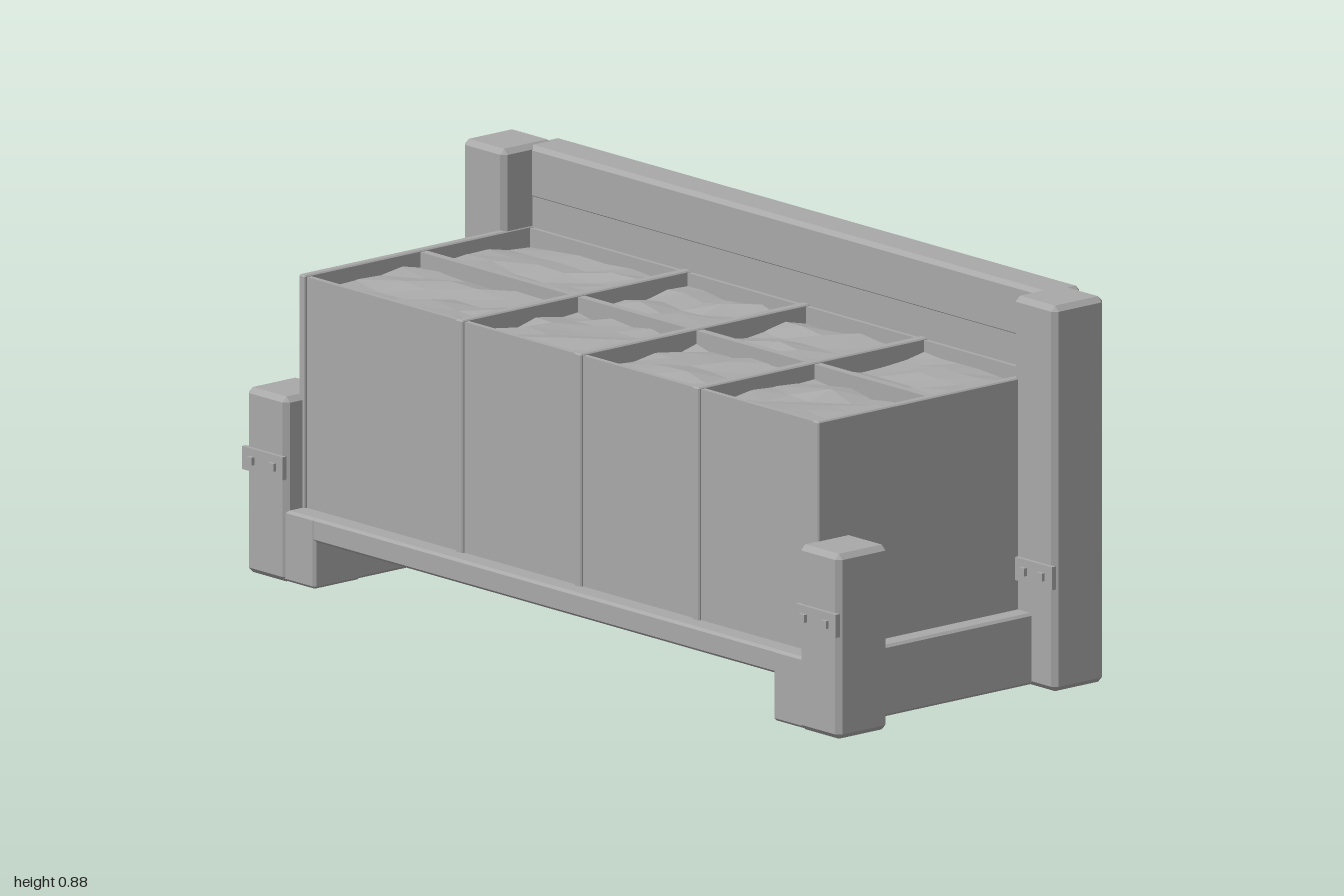
import * as THREE from 'three';
import { ConvexGeometry } from 'three/addons/geometries/ConvexGeometry.js';

const grey = new THREE.MeshStandardMaterial({ color: 0xa8a8a8 });

// Box given by its limits; a chamfer c cuts all edges
function block(parent, name, [x0, x1], [y0, y1], [z0, z1], c = 0) {
  const w = x1 - x0, h = y1 - y0, d = z1 - z0;
  let geo;
  if (c > 0) {
    const pts = [];
    for (const sx of [-1, 1]) for (const sy of [-1, 1]) for (const sz of [-1, 1]) {
      for (let axis = 0; axis < 3; axis++) {
        const inset = [c, c, c];
        inset[axis] = 0;
        pts.push(new THREE.Vector3(
          sx * (w / 2 - inset[0]), sy * (h / 2 - inset[1]), sz * (d / 2 - inset[2])));
      }
    }
    geo = new ConvexGeometry(pts);
  } else geo = new THREE.BoxGeometry(w, h, d);
  const mesh = new THREE.Mesh(geo, grey);
  mesh.name = name;
  mesh.position.set((x0 + x1) / 2, (y0 + y1) / 2, (z0 + z1) / 2);
  parent.add(mesh);
  return mesh;
}

function seeded(seed) {
  return () => {
    seed = (seed * 16807) % 2147483647;
    return seed / 2147483647;
  };
}

// Faceted uneven surface filling one compartment
function fill(parent, x0, x1, z0, z1, rand) {
  let geo = new THREE.PlaneGeometry(x1 - x0, z1 - z0, 6, 5);
  geo.rotateX(-Math.PI / 2);
  const p = geo.attributes.position;
  for (let i = 0; i < p.count; i++) p.setY(i, (rand() - 0.5) * 0.022);
  geo = geo.toNonIndexed();
  geo.computeVertexNormals();
  const mesh = new THREE.Mesh(geo, grey);
  mesh.name = 'compartmentFill';
  mesh.position.set((x0 + x1) / 2, 0.66, (z0 + z1) / 2);
  parent.add(mesh);
}

export function createModel() {
  const model = new THREE.Group();
  model.name = 'compartmentBin';
  const span = (s, a, b) => (s > 0 ? [a, b] : [-b, -a]);

  // Posts, feet, side runners and bolted plates, mirrored left and right
  for (const s of [1, -1]) {
    const side = new THREE.Group();
    side.name = s > 0 ? 'leftFrame' : 'rightFrame';
    model.add(side);
    block(side, 'frontPost', span(s, 0.86, 0.997), [0, 0.424], [0.253, 0.403], 0.012);
    block(side, 'backPost', span(s, 0.855, 0.997), [0, 0.884], [-0.387, -0.236], 0.012);
    block(side, 'frontFoot', span(s, 0.77, 0.985), [0.002, 0.165], [0.26, 0.398], 0.006);
    block(side, 'backFoot', span(s, 0.77, 0.985), [0.002, 0.165], [-0.382, -0.245], 0.006);
    block(side, 'sideRunner', span(s, 0.77, 0.92), [0.004, 0.168], [-0.3, 0.32], 0.006);

    for (const [z, inner] of [[0.4, 0.862], [-0.239, 0.875]]) {
      block(side, 'metalPlate', span(s, inner, 0.998), [0.237, 0.29], [z, z + 0.012]);
      for (const x of [inner + 0.03, 0.965]) {
        block(side, 'bolt', span(s, x - 0.009, x + 0.009), [0.254, 0.272], [z + 0.01, z + 0.02]);
      }
    }
  }

  // Base
  block(model, 'floor', [-0.86, 0.86], [0.11, 0.16], [-0.35, 0.37]);
  block(model, 'frontBeam', [-0.87, 0.87], [0.11, 0.165], [0.32, 0.397], 0.006);
  block(model, 'backBeam', [-0.87, 0.87], [0.11, 0.168], [-0.382, -0.31], 0.006);

  // Raised back
  block(model, 'backTopRail', [-0.88, 0.88], [0.757, 0.88], [-0.42, -0.32], 0.01);
  block(model, 'backPanel', [-0.87, 0.87], [0.355, 0.78], [-0.36, -0.322]);

  // Bin walls
  const top = 0.698, bottom = 0.155;
  const bin = new THREE.Group();
  bin.name = 'bin';
  model.add(bin);
  block(bin, 'binFront', [-0.86, 0.86], [bottom, top - 0.004], [0.334, 0.347]);
  block(bin, 'binBack', [-0.86, 0.86], [bottom, top - 0.004], [-0.322, -0.312]);
  for (const s of [1, -1]) {
    block(bin, 'binEnd', span(s, 0.853, 0.874), [bottom, top], [-0.325, 0.354], 0.003);
  }

  // Dividers, standing slightly proud of the bin front and back
  const dividers = [-0.335, 0.063, 0.46];
  for (const x of dividers) {
    block(bin, 'crossDivider', [x - 0.012, x + 0.012], [bottom, top], [-0.33, 0.354], 0.003);
  }
  block(bin, 'longDivider', [-0.86, 0.86], [bottom, top - 0.004], [-0.008, 0.012]);

  // Uneven contents
  const rand = seeded(71);
  const xs = [-0.86, ...dividers, 0.86];
  for (let i = 0; i < 4; i++) {
    fill(bin, xs[i], xs[i + 1], -0.315, 0.0, rand);
    fill(bin, xs[i], xs[i + 1], 0.0, 0.34, rand);
  }
  return model;
}
